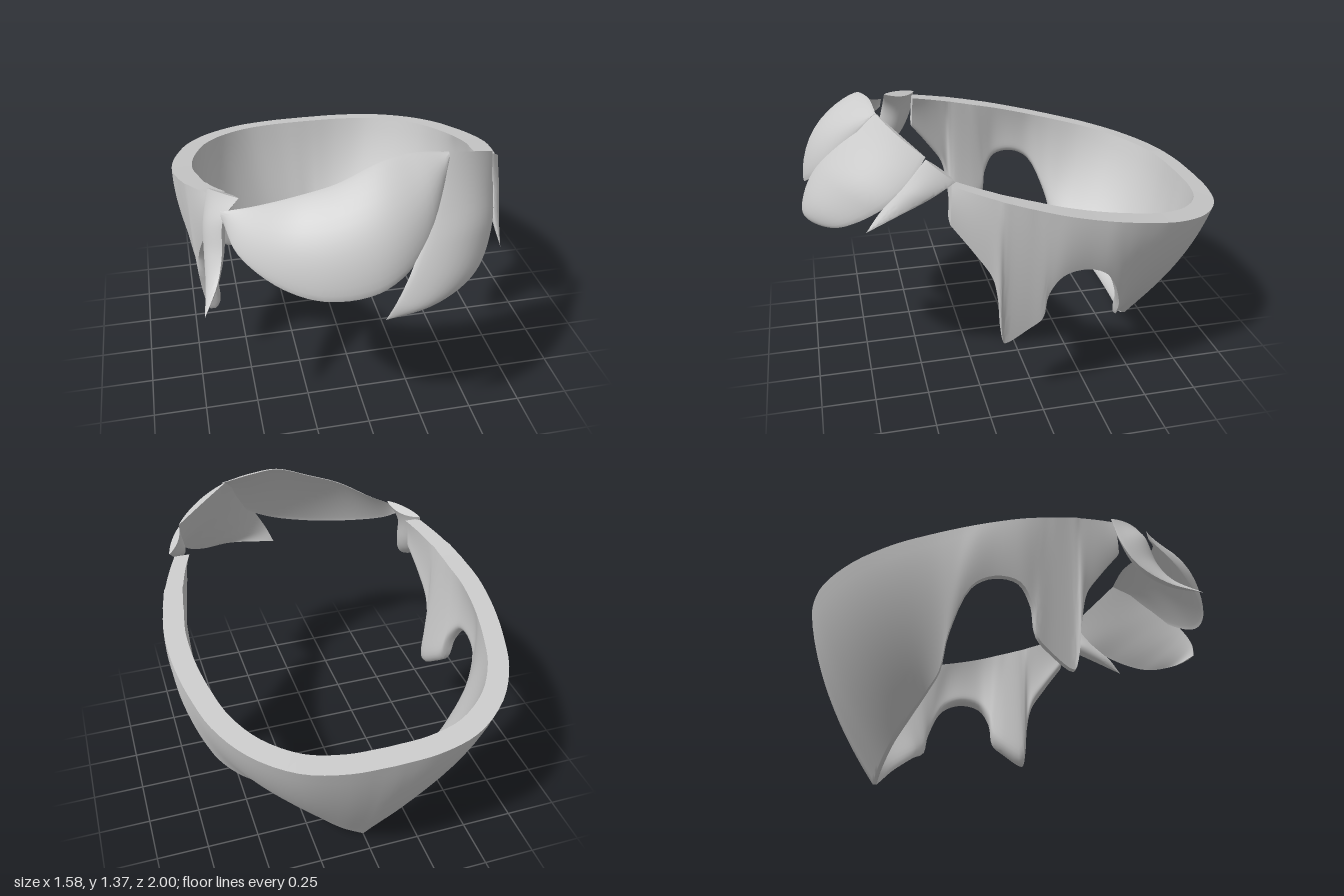
import * as THREE from 'three';
import { toCreasedNormals, mergeVertices } from 'three/addons/utils/BufferGeometryUtils.js';

const V = (x, y, z) => new THREE.Vector3(x, y, z);
const curve = (pts) => new THREE.CatmullRomCurve3(pts.map((p) => V(...p)), false, 'centripetal');
const { lerp, smoothstep } = THREE.MathUtils;

// Closed solid through a row of equally sized rings, capped at both ends
function loft(rings, crease) {
  const n = rings[0].length, pos = [], idx = [];
  rings.forEach((r) => r.forEach((p) => pos.push(p.x, p.y, p.z)));
  for (let i = 0; i < rings.length - 1; i++) {
    for (let j = 0; j < n; j++) {
      const k = (j + 1) % n, a = i * n, b = a + n;
      idx.push(a + j, b + j, b + k, a + j, b + k, a + k);
    }
  }
  // cap strips join the outer half of the ring with the inner half
  const cap = (o, flip) => {
    for (let j = 0; j < n / 2 - 1; j++) {
      const q = [o + j, o + j + 1, o + n - 2 - j, o + n - 1 - j];
      if (flip) q.reverse();
      idx.push(q[0], q[1], q[2], q[0], q[2], q[3]);
    }
  };
  cap(0, false);
  cap((rings.length - 1) * n, true);

  // turn the faces outward if the solid came out inverted
  const at = (i) => V(pos[i * 3], pos[i * 3 + 1], pos[i * 3 + 2]);
  let volume = 0;
  for (let i = 0; i < idx.length; i += 3) volume += at(idx[i]).dot(at(idx[i + 1]).cross(at(idx[i + 2])));
  if (volume < 0) idx.reverse();

  const g = new THREE.BufferGeometry();
  g.setAttribute('position', new THREE.Float32BufferAttribute(pos, 3));
  g.setIndex(idx);
  return toCreasedNormals(mergeVertices(g, 1e-5), crease);
}

// Height of the slanted top rim at depth z
const rimY = (z) => 1.02 + 0.255 * z + 0.03 * z * z;

// Half of the band, from centre back to the front end
const rim = [
  [0, -1], [0.2, -0.99], [0.4, -0.935], [0.58, -0.8], [0.695, -0.625], [0.75, -0.45], [0.773, -0.34],
  [0.783, -0.27], [0.79, -0.18], [0.79, -0.08], [0.78, 0], [0.77, 0.05], [0.765, 0.08], [0.75, 0.14],
  [0.74, 0.18], [0.73, 0.2], [0.715, 0.24], [0.69, 0.3], [0.65, 0.385],
];
const hem = [
  [0, 0, -0.65], [0.1, 0.05, -0.63], [0.22, 0.13, -0.585], [0.33, 0.21, -0.52], [0.45, 0.29, -0.45],
  [0.56, 0.35, -0.4], [0.66, 0.48, -0.375], [0.74, 0.67, -0.29], [0.755, 0.72, -0.19], [0.755, 0.7, -0.08],
  [0.73, 0.6, -0.02], [0.71, 0.47, 0], [0.69, 0.41, 0.06], [0.675, 0.34, 0.165], [0.69, 0.38, 0.18],
  [0.715, 0.55, 0.195], [0.71, 0.7, 0.225], [0.69, 0.82, 0.3], [0.66, 0.95, 0.395],
];

function bandGeometry() {
  const top = curve(rim.map(([x, z]) => [x, rimY(z), z]));
  const bottom = curve(hem);
  const steps = 72, rows = 16, rings = [];
  for (let i = -steps; i <= steps; i++) {
    const u = Math.abs(i) / steps, side = i < 0 ? -1 : 1;
    const a = top.getPoint(u), b = bottom.getPoint(u), tan = top.getTangent(u);
    const out = u === 0 ? V(0, 0, -1) : V(tan.z, 0, -tan.x).normalize();
    out.lerp(V(1, 0, 0), smoothstep(a.z, -0.1, 0.2)).normalize();
    const bulge = lerp(0.05, 0.01, smoothstep(u, 0.15, 0.45));
    const rimThick = lerp(0.098, 0.075, smoothstep(a.z, 0, 0.4));
    const hemThick = lerp(0.04, 0.065, Math.min(1, u * 1.6));
    const outer = [], inner = [];
    for (let j = 0; j <= rows; j++) {
      const t = Math.sin((Math.PI / 2) * (j / rows));
      const p = a.clone().lerp(b, t).addScaledVector(out, bulge * 4 * t * (1 - t));
      const thick = lerp(rimThick, hemThick, t) * (1 - 0.6 * t ** 24);
      const q = p.clone().addScaledVector(out, -thick);
      q.y += (rimY(q.z) - rimY(p.z)) * (1 - t);
      outer.push(p);
      inner.unshift(q);
    }
    rings.push([...outer, ...inner].map((p) => V(p.x * side, p.y, p.z)));
  }
  return loft(rings, 0.9);
}

// Lens-section lock between two edge curves; bulges are relative to its width
function lockGeometry(edgeA, edgeB, outerBulge, innerBulge) {
  const A = curve(edgeA), B = curve(edgeB), steps = 36, cols = 14, rings = [];
  for (let i = 0; i <= steps; i++) {
    const u = i / steps, a = A.getPoint(u), b = B.getPoint(u);
    const across = b.clone().sub(a), w = across.length() * lerp(0.5, 1, smoothstep(u, 0, 0.4));
    const out = across.clone().cross(A.getTangent(u).add(B.getTangent(u))).normalize();
    if (out.dot(V(a.x + b.x, 0.6, a.z + b.z)) < 0) out.negate();
    const row = (k) => Array.from({ length: cols + 1 }, (_, j) => {
      const s = (1 - Math.cos((Math.PI * j) / cols)) / 2;
      const arch = Math.max(0, Math.sin(Math.PI * s)) ** 0.75;
      return a.clone().lerp(b, s).addScaledVector(out, k * w * arch);
    });
    rings.push([...row(outerBulge), ...row(innerBulge).reverse()]);
  }
  return loft(rings, 0.8);
}

const locks = [
  {
    name: 'largeFringeLock', outer: 0.16, inner: 0.04,
    a: [[-0.61, 1.12, 0.55], [-0.47, 1.165, 0.61], [-0.3, 1.24, 0.69], [-0.15, 1.29, 0.715],
      [0.03, 1.36, 0.7], [0.17, 1.37, 0.665], [0.335, 1.35, 0.65]],
    b: [[-0.605, 1.08, 0.56], [-0.56, 0.99, 0.69], [-0.4, 0.91, 0.86], [-0.22, 0.89, 0.955],
      [0, 0.935, 0.98], [0.19, 1.07, 0.89], [0.335, 1.34, 0.67]],
  },
  {
    name: 'leftFringeLock', outer: 0.15, inner: 0.01,
    a: [[0.32, 1.35, 0.65], [0.21, 1.18, 0.83], [0.11, 1, 0.95], [0.04, 0.87, 0.985], [0, 0.78, 0.975]],
    b: [[0.6, 1.24, 0.48], [0.585, 1.1, 0.56], [0.545, 0.99, 0.68], [0.43, 0.88, 0.84],
      [0.26, 0.83, 0.945], [0, 0.78, 0.975]],
  },
  {
    name: 'leftTempleLock', outer: 0.14, inner: -0.25,
    a: [[0.6, 1.23, 0.48], [0.58, 1.1, 0.58], [0.56, 1, 0.67], [0.57, 0.91, 0.74]],
    b: [[0.675, 1.15, 0.37], [0.64, 1.07, 0.47], [0.6, 0.98, 0.62], [0.57, 0.91, 0.74]],
  },
  {
    name: 'rightTempleLock', outer: 0.14, inner: -0.3,
    a: [[-0.53, 1.17, 0.54], [-0.6, 1.08, 0.55], [-0.62, 0.93, 0.59], [-0.65, 0.83, 0.65], [-0.72, 0.74, 0.76]],
    b: [[-0.65, 1.14, 0.37], [-0.68, 1, 0.4], [-0.69, 0.88, 0.47], [-0.7, 0.79, 0.6], [-0.72, 0.74, 0.76]],
  },
];

export function createModel() {
  const group = new THREE.Group();
  group.name = 'hair';
  const material = new THREE.MeshStandardMaterial({ color: 0xcccccc, side: THREE.DoubleSide });
  const add = (name, geometry) => {
    const mesh = new THREE.Mesh(geometry, material);
    mesh.name = name;
    group.add(mesh);
  };

  // Back hair with sideburns and ear openings
  add('backHair', bandGeometry());

  // Fringe and temple locks
  for (const l of locks) add(l.name, lockGeometry(l.a, l.b, l.outer, l.inner));
  return group;
}
